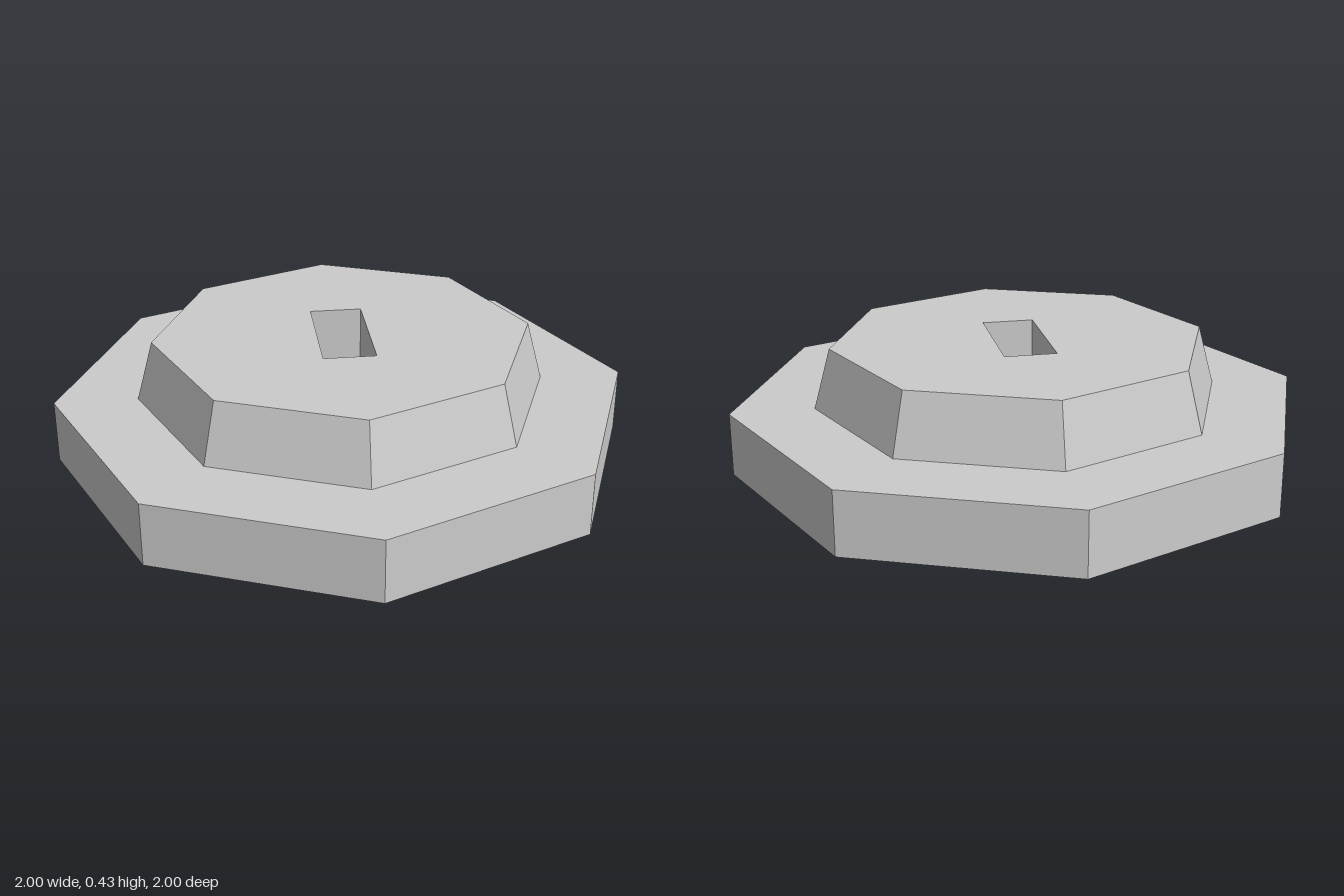
import * as THREE from 'three';

const SIDES = 8;
const LEDGE_Y = 0.22, TOP_Y = 0.43;      // heights of the two tiers
const SLOT_X = 0.09, SLOT_Z = 0.2;       // half sizes of the slot
const SLOT_BOTTOM = 0.005;
const TOP_R = 0.655;

const material = new THREE.MeshStandardMaterial({
  color: 0xcccccc, flatShading: true, side: THREE.DoubleSide,
});

function addMesh(parent, name, geometry) {
  const mesh = new THREE.Mesh(geometry, material);
  mesh.name = name;
  parent.add(mesh);
  return mesh;
}

// Open eight-sided ring of walls between two heights
function wallRing(topR, bottomR, y0, y1) {
  return new THREE.CylinderGeometry(topR, bottomR, y1 - y0, SIDES, 1, true)
    .translate(0, (y0 + y1) / 2, 0);
}

export function createModel() {
  const group = new THREE.Group();
  group.name = 'steppedCover';

  // Wide lower tier: thin rim, open underneath, closed by a flat plate
  addMesh(group, 'baseRim', wallRing(1, 1, 0, LEDGE_Y));
  addMesh(group, 'basePlate', new THREE.CircleGeometry(1, SIDES)
    .rotateX(-Math.PI / 2).translate(0, LEDGE_Y, 0));

  // Tapered upper tier: its skirt reaches a little below the plate
  addMesh(group, 'upperSkirt', wallRing(TOP_R, 0.725, 0.175, TOP_Y));

  // Upper lid with a rectangular slot
  const lid = new THREE.Shape();
  for (let i = 0; i < SIDES; i++) {
    const a = (i / SIDES) * Math.PI * 2;
    const x = TOP_R * Math.cos(a), y = TOP_R * Math.sin(a);
    if (i) lid.lineTo(x, y); else lid.moveTo(x, y);
  }
  lid.closePath();
  const slot = new THREE.Path();
  slot.moveTo(-SLOT_X, -SLOT_Z).lineTo(-SLOT_X, SLOT_Z)
    .lineTo(SLOT_X, SLOT_Z).lineTo(SLOT_X, -SLOT_Z).closePath();
  lid.holes.push(slot);
  addMesh(group, 'upperLid', new THREE.ShapeGeometry(lid)
    .rotateX(-Math.PI / 2).translate(0, TOP_Y, 0));

  // Slot sleeve: four thin walls running down through the plate
  const sleeve = new THREE.Group();
  sleeve.name = 'slotSleeve';
  const h = TOP_Y - SLOT_BOTTOM;
  for (let i = 0; i < 4; i++) {
    const onX = i % 2 === 1;
    const width = 2 * (onX ? SLOT_Z : SLOT_X);
    const offset = onX ? SLOT_X : SLOT_Z;
    addMesh(sleeve, 'slotWall', new THREE.PlaneGeometry(width, h)
      .translate(0, SLOT_BOTTOM + h / 2, offset).rotateY(i * Math.PI / 2));
  }
  group.add(sleeve);

  return group;
}
